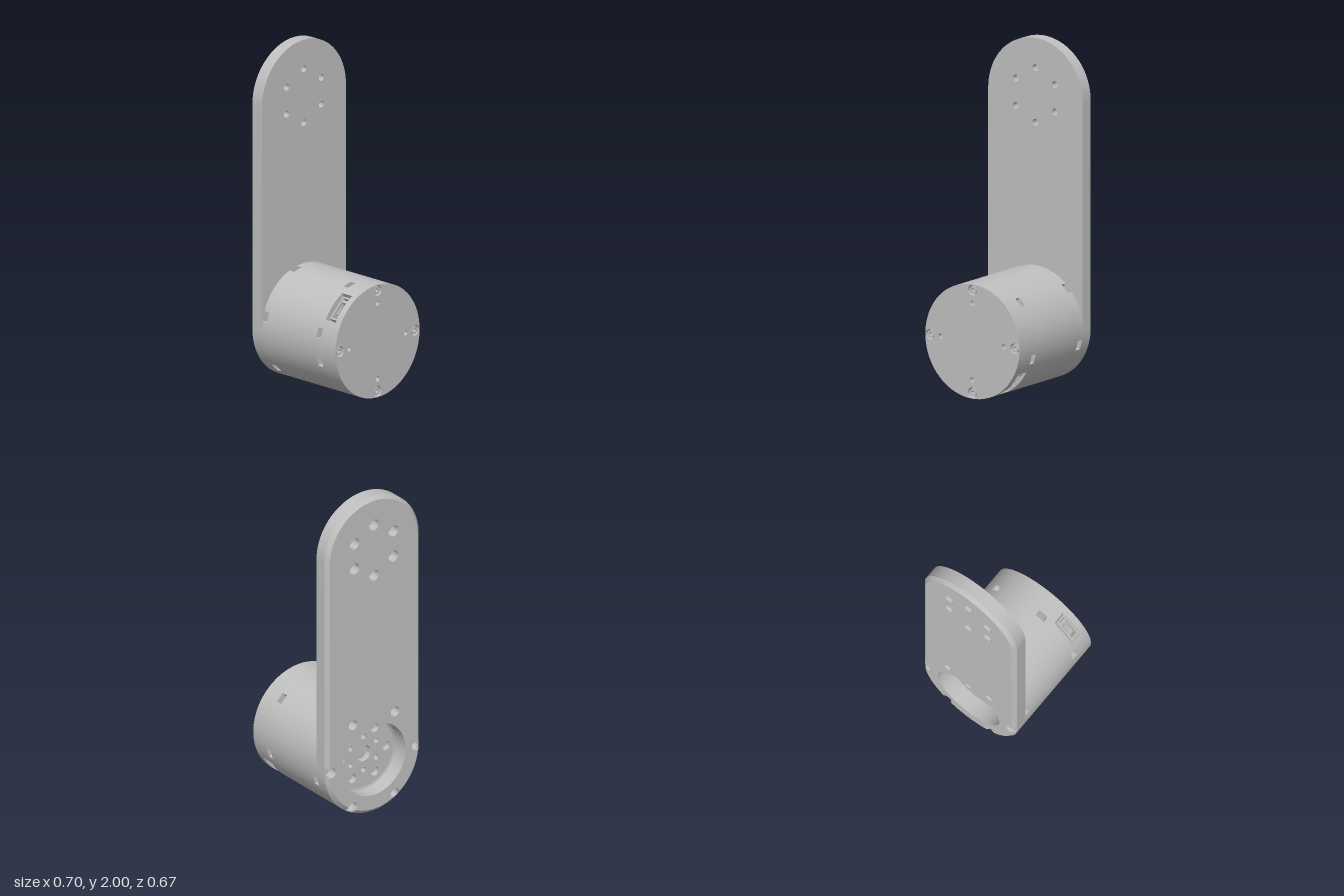
import * as THREE from 'three';
import { toCreasedNormals } from 'three/addons/utils/BufferGeometryUtils.js';

const R = 0.335;            // body and arm radius
const RI = 0.313;           // arm face radius inside the chamfer
const SPAN = 1.33;          // distance between the arm's end centres
const rad = THREE.MathUtils.degToRad;
const grey = new THREE.MeshStandardMaterial({ color: 0xbfbfbf });
grey.name = 'light grey';

// Points of the form [u, v] on a circle; u runs to -z, v runs up
const polar = (r, deg, v = 0) => [r * Math.cos(rad(deg)), v + r * Math.sin(rad(deg))];
const ring = (n, r, start, v = 0) =>
  Array.from({ length: n }, (_, i) => polar(r, start + (i * 360) / n, v));

function circle(u, v, r) {
  const p = new THREE.Path();
  p.absarc(u, v, r, 0, Math.PI * 2, true);
  return p;
}
const holes = (centres, r) => centres.map(([u, v]) => circle(u, v, r));

// Extrude a shape along x, from x0 to x1, with an optional rule for moving vertices
function slab(name, shape, x0, x1, rule, segments = 20) {
  let geo = new THREE.ExtrudeGeometry(shape, { depth: x1 - x0, bevelEnabled: false, curveSegments: segments });
  if (rule) {
    const p = geo.attributes.position;
    const v = new THREE.Vector3();
    for (let i = 0; i < p.count; i++) {
      rule(v.fromBufferAttribute(p, i));
      p.setXYZ(i, v.x, v.y, v.z);
    }
  }
  geo = toCreasedNormals(geo, 0.5);
  geo.rotateY(Math.PI / 2).translate(x0, 0, 0);
  const mesh = new THREE.Mesh(geo, grey);
  mesh.name = name;
  return mesh;
}

function disc(r, cuts = []) {
  const s = new THREE.Shape();
  s.absarc(0, 0, r, 0, Math.PI * 2, false);
  s.holes.push(...cuts);
  return s;
}

// Part of a tube wall between two angles
function sector(r0, r1, a0, a1) {
  const s = new THREE.Shape();
  s.absarc(0, 0, r1, rad(a0), rad(a1), false);
  s.absarc(0, 0, r0, rad(a1), rad(a0), true);
  s.closePath();
  return s;
}

// Tube band with openings, given as angles from +y towards +z
function band(name, x0, x1, gaps, half) {
  const g = new THREE.Group();
  g.name = name;
  gaps.forEach((a, i) => {
    const next = i + 1 < gaps.length ? gaps[i + 1] : gaps[0] + 360;
    const from = a + half + 90, to = next - half + 90;
    g.add(slab('shellSegment', sector(0.305, R, from, to), x0, x1, null, Math.ceil((to - from) / 4)));
  });
  return g;
}

function stadium(cuts) {
  const s = new THREE.Shape();
  s.absarc(0, SPAN, R, 0, Math.PI, false);
  s.absarc(0, 0, R, Math.PI, Math.PI * 2, false);
  s.closePath();
  s.holes.push(...cuts);
  return s;
}

// Outer face of the arm, with screw holes biting into its lower edge
function faceOutline(cuts) {
  const psi = 67, delta = 5.06, pts = [];
  for (let a = 180; a <= 360; a += 60) {
    const [cu, cv] = polar(0.3, a);
    for (let i = 0; i <= 14; i++) {
      const [u, v] = polar(0.03, a - psi - (i * (360 - 2 * psi)) / 14);
      pts.push([cu + u, cv + v]);
    }
    if (a < 360) for (let i = 1; i < 12; i++) pts.push(polar(RI, a + delta + (i * (60 - 2 * delta)) / 12));
  }
  for (let i = 0; i <= 40; i++) pts.push(polar(RI, i * 4.5, SPAN));
  const s = new THREE.Shape(pts.map(([u, v]) => new THREE.Vector2(u, v)));
  s.holes.push(...cuts);
  return s;
}

// Widen the inner end of the face slab to form the chamfer
function chamfer(p) {
  const v0 = THREE.MathUtils.clamp(p.y, 0, SPAN);
  const d = Math.hypot(p.x, p.y - v0);
  if (p.z > 0.01 && d > 0.311) {
    p.x *= R / d;
    p.y = v0 + ((p.y - v0) * R) / d;
  }
}

function buildArm() {
  const g = new THREE.Group();
  g.name = 'arm';
  const top = ring(6, 0.16, 30, SPAN);
  const low = ring(6, 0.3, 0);
  const pocket = circle(0, 0, 0.225);
  const bores = [...holes(top, 0.034), pocket];
  g.add(slab('armFace', faceOutline([...bores, ...holes([low[1], low[2]], 0.03)]), -0.35, -0.328, chamfer));
  g.add(slab('armMiddle', stadium([...bores, ...holes(low, 0.03)]), -0.328, -0.29, null, 40));
  g.add(slab('armInner', stadium([...holes(top, 0.02), pocket]), -0.29, -0.25, null, 40));
  return g;
}

function box(name, parent, w, h, d, x, y, z) {
  const m = new THREE.Mesh(new THREE.BoxGeometry(w, h, d), grey);
  m.name = name;
  m.position.set(x, y, z);
  parent.add(m);
}

// Socket seen through the shell; local y points outwards
function buildSocket(angle) {
  const g = new THREE.Group();
  g.name = 'socket';
  box('socketFloor', g, 0.084, 0.02, 0.17, 0.27, 0.265, 0);
  for (const s of [-1, 1]) {
    box('socketSide', g, 0.008, 0.045, 0.15, 0.277 + s * 0.027, 0.295, 0);
    box('socketEnd', g, 0.062, 0.045, 0.01, 0.277, 0.295, s * 0.072);
    box('socketPin', g, 0.006, 0.035, 0.05, 0.277 + s * 0.009, 0.29, 0.012);
  }
  box('socketKey', g, 0.044, 0.04, 0.014, 0.277, 0.292, -0.048);
  box('socketTongue', g, 0.006, 0.03, 0.08, 0.277, 0.285, 0.015);
  g.rotation.x = rad(angle);
  return g;
}

function buildBody() {
  const g = new THREE.Group();
  g.name = 'motorBody';

  // Shell with vent slots and socket openings
  g.add(band('rearShell', -0.25, -0.212, [15, 75, 135, 195, 255, 315], 5));
  g.add(slab('middleShell', disc(R, [circle(0, 0, 0.28)]), -0.212, 0.19, null, 40));
  g.add(band('slottedShell', 0.19, 0.228, [15, 75, 105, 165, 195, 255, 315], 5));
  g.add(band('socketShell', 0.228, 0.312, [45, 225], 16));
  g.add(buildSocket(45), buildSocket(225));

  // Core and rotor seen through the arm's pocket
  g.add(slab('core', disc(0.29), -0.2, 0.205, null, 32));
  g.add(slab('bearingRing', disc(0.29, [circle(0, 0, 0.22)]), -0.25, -0.2, null, 32));
  const rotorCuts = [
    circle(0, 0, 0.05), ...holes(ring(6, 0.16, 0), 0.028), ...holes(ring(6, 0.105, 30), 0.016),
  ];
  g.add(slab('rotor', disc(0.215, rotorCuts), -0.25, -0.215, null, 32));

  // End cap with screws and small mounting holes
  const screws = ring(4, 0.3, 0);
  const capCuts = [...holes(screws, 0.031), ...holes(ring(4, 0.225, 0), 0.015)];
  g.add(slab('endCap', disc(R, capCuts), 0.312, 0.35, null, 40));
  g.add(slab('capBacking', disc(0.334), 0.308, 0.318, null, 40));
  for (const [u, v] of screws) {
    const socket = new THREE.Path(ring(6, 0.012, 0).map(([a, b]) => new THREE.Vector2(a, b)).reverse());
    const screw = slab('screw', disc(0.024, [socket]), 0.318, 0.345, null, 12);
    screw.position.set(0, v, -u);
    g.add(screw);
  }
  return g;
}

export function createModel() {
  const model = new THREE.Group();
  model.name = 'motorWithArm';
  model.add(buildArm(), buildBody());
  model.children.forEach((part) => { part.position.y = R; });
  return model;
}
